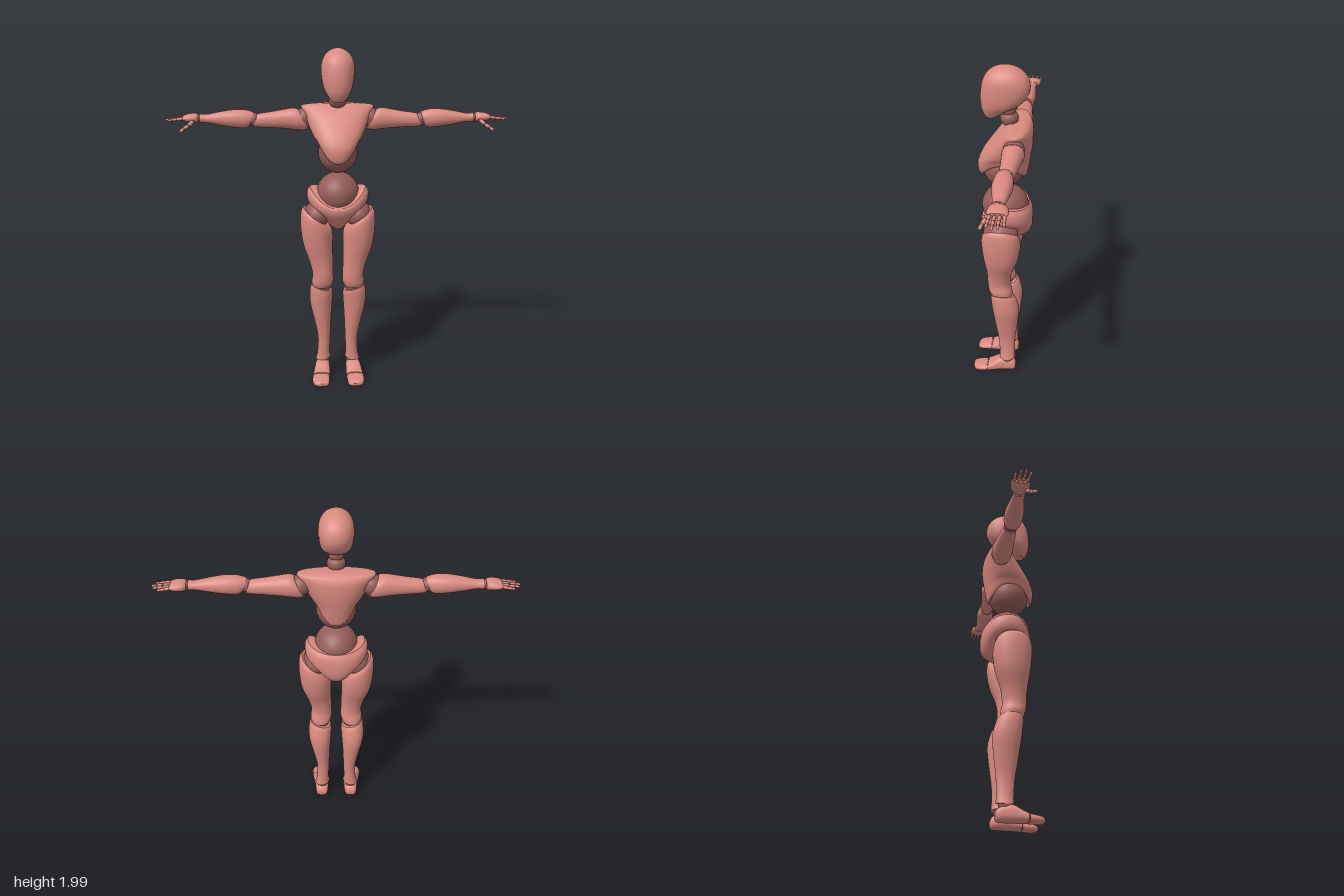
import * as THREE from 'three';

const skin = new THREE.MeshStandardMaterial({ color: 0xd98a80 });
skin.name = 'salmon shell';
const joint = new THREE.MeshStandardMaterial({ color: 0x955d56 });
joint.name = 'dark joint';

// Axis maps: section position t and cross-section coordinates a, b to x, y, z
const UP = (t, a, b) => [a, t, b];      // a = x, b = z
const OUT = (t, a, b) => [t, a, b];     // along x: a = y, b = z
const FORWARD = (t, a, b) => [a, b, t]; // along z: a = x, b = y

// Blend the sections with a smooth curve
function refine(rings, steps) {
  const out = [], n = rings.length;
  for (let i = 0; i < n - 1; i++) {
    const p = [-1, 0, 1, 2].map(k => rings[Math.min(n - 1, Math.max(0, i + k))]);
    for (let s = 0; s < steps; s++) {
      const u = s / steps;
      out.push(Array.from({ length: 8 }, (_, k) => {
        const [a, b, c, d] = p.map(r => r[k] ?? 0);
        return b + 0.5 * u * (c - a + u * (2 * a - 5 * b + 4 * c - d + u * (3 * (b - c) + d - a)));
      }));
    }
  }
  out.push(Array.from({ length: 8 }, (_, k) => rings[n - 1][k] ?? 0));
  return out;
}

// Closed loft; ring = [t, aMin, aMax, bMin, bMax, tilt, sideLift, backLift]
function loft(name, rings, map, { side = 1, power = 0.92, seg = 32, steps = 4, material = skin } = {}) {
  const pos = [], idx = [], rows = refine(rings, steps);
  const addRing = ([t, a0, a1, b0, b1, tilt, lift, back]) => {
    for (let j = 0; j < seg; j++) {
      const th = j / seg * Math.PI * 2, c0 = Math.cos(th), s0 = Math.sin(th);
      const c = Math.sign(c0) * Math.abs(c0) ** power, s = Math.sign(s0) * Math.abs(s0) ** power;
      const h = t + tilt * c0 + lift * c0 * c0 + (s0 < 0 ? back * s0 * s0 : 0);
      const [x, y, z] = map(h, (a0 + a1) / 2 + c * (a1 - a0) / 2, (b0 + b1) / 2 + s * (b1 - b0) / 2);
      pos.push(x * side, y, z);
    }
  };
  rows.forEach(addRing);
  for (let i = 0; i < rows.length - 1; i++) for (let j = 0; j < seg; j++) {
    const a = i * seg + j, b = i * seg + (j + 1) % seg;
    idx.push(a, a + seg, b, b, a + seg, b + seg);
  }
  // End caps with their own rim so the edge stays crisp
  [[rows[0], 0], [rows[rows.length - 1], 1]].forEach(([r, end]) => {
    const start = pos.length / 3;
    addRing(r);
    const [x, y, z] = map(r[0] + r[6] * 0.5 + r[7] * 0.25, (r[1] + r[2]) / 2, (r[3] + r[4]) / 2);
    pos.push(x * side, y, z);
    for (let j = 0; j < seg; j++) {
      const a = start + j, b = start + (j + 1) % seg;
      end ? idx.push(a, start + seg, b) : idx.push(a, b, start + seg);
    }
  });
  // Turn the faces outward
  let volume = 0;
  const P = i => new THREE.Vector3().fromArray(pos, idx[i] * 3);
  for (let i = 0; i < idx.length; i += 3) volume += P(i).dot(P(i + 1).cross(P(i + 2)));
  if (volume < 0) idx.reverse();
  const g = new THREE.BufferGeometry();
  g.setAttribute('position', new THREE.Float32BufferAttribute(pos, 3));
  g.setIndex(idx);
  g.computeVertexNormals();
  const m = new THREE.Mesh(g, material);
  m.name = name;
  return m;
}

function ball(name, x, y, z, rx, ry = rx, rz = rx, material = joint) {
  const m = new THREE.Mesh(new THREE.SphereGeometry(1, 32, 20), material);
  m.position.set(x, y, z);
  m.scale.set(rx, ry, rz);
  m.name = name;
  return m;
}

// Chain of small tapered bones with a ball at each knuckle
function finger(name, points, radius) {
  const g = new THREE.Group();
  g.name = name;
  points.slice(1).forEach((q, i) => {
    const a = new THREE.Vector3(...points[i]), b = new THREE.Vector3(...q), d = b.clone().sub(a);
    const m = new THREE.Mesh(new THREE.CapsuleGeometry(radius * (1 - i * 0.12), d.length() * 0.55, 4, 10), skin);
    m.position.copy(a).lerp(b, 0.5);
    m.quaternion.setFromUnitVectors(new THREE.Vector3(0, 1, 0), d.normalize());
    m.name = name + 'Bone';
    g.add(m, ball(name + 'Knuckle', ...points[i], radius * 0.8));
  });
  return g;
}

function arm(side) {
  const g = new THREE.Group(), o = { side };
  g.name = side > 0 ? 'leftArm' : 'rightArm';
  g.add(ball('shoulderJoint', side * 0.19, 1.6, -0.08, 0.058));
  g.add(loft('upperArm', [
    [0.195, 1.54, 1.65, -0.135, -0.025, 0.03], [0.23, 1.53, 1.658, -0.142, -0.02, 0.025],
    [0.3, 1.54, 1.652, -0.135, -0.025], [0.38, 1.545, 1.638, -0.125, -0.03],
    [0.44, 1.548, 1.63, -0.118, -0.034], [0.475, 1.55, 1.625, -0.11, -0.038, -0.012]], OUT, o));
  g.add(ball('elbowJoint', side * 0.485, 1.595, -0.072, 0.038));
  g.add(loft('forearm', [
    [0.493, 1.56, 1.635, -0.108, -0.03, -0.012], [0.53, 1.545, 1.65, -0.12, -0.022],
    [0.6, 1.55, 1.65, -0.125, -0.02], [0.68, 1.562, 1.638, -0.118, -0.032],
    [0.75, 1.575, 1.624, -0.11, -0.044], [0.79, 1.575, 1.626, -0.112, -0.045]], OUT, o));
  g.add(ball('wristJoint', side * 0.797, 1.6, -0.078, 0.022));
  g.add(loft('palm', [
    [0.8, 1.578, 1.622, -0.115, -0.045], [0.82, 1.575, 1.63, -0.13, -0.035],
    [0.86, 1.58, 1.626, -0.135, -0.032], [0.885, 1.588, 1.617, -0.128, -0.04]], OUT, o));
  [[-0.12, 0.95], [-0.098, 0.98], [-0.075, 0.99], [-0.051, 0.97]].forEach(([z, tip], i) => {
    const pt = k => [side * (0.885 + (tip - 0.885) * k), 1.603 - 0.01 * k, z + (z + 0.085) * 0.15 * k];
    g.add(finger('finger' + (i + 1), [pt(0), pt(0.4), pt(0.72), pt(0.98)], 0.0095));
  });
  g.add(finger('thumb', [[side * 0.825, 1.59, -0.045], [side * 0.852, 1.565, -0.028],
    [side * 0.877, 1.55, -0.015], [side * 0.897, 1.535, -0.006]], 0.012));
  return g;
}

function leg(side) {
  const g = new THREE.Group(), o = { side };
  g.name = side > 0 ? 'leftLeg' : 'rightLeg';
  g.add(ball('hipJoint', side * 0.122, 1.045, 0, 0.075, 0.08, 0.1));
  g.add(loft('thigh', [
    [0.6, 0.04, 0.152, -0.068, 0.062], [0.63, 0.028, 0.158, -0.065, 0.075],
    [0.68, 0.028, 0.152, -0.055, 0.082], [0.76, 0.03, 0.17, -0.065, 0.085],
    [0.86, 0.03, 0.205, -0.1, 0.1], [0.95, 0.03, 0.22, -0.115, 0.11, 0.02],
    [1.01, 0.04, 0.218, -0.112, 0.11, 0.05], [1.035, 0.058, 0.2, -0.1, 0.1, 0.055]], UP, o));
  g.add(ball('kneeJoint', side * 0.095, 0.6, -0.005, 0.054));
  g.add(loft('shin', [
    [0.11, 0.045, 0.135, -0.088, 0.01, -0.008], [0.15, 0.05, 0.125, -0.085, 0.01],
    [0.25, 0.046, 0.122, -0.087, 0.018], [0.36, 0.042, 0.142, -0.1, 0.035],
    [0.48, 0.034, 0.168, -0.11, 0.052], [0.56, 0.03, 0.168, -0.092, 0.062, 0.012],
    [0.59, 0.036, 0.158, -0.075, 0.062, 0.018]], UP, o));
  g.add(ball('ankleJoint', side * 0.092, 0.1, -0.035, 0.04));
  g.add(loft('foot', [
    [-0.093, 0.075, 0.115, 0.03, 0.055], [-0.08, 0.058, 0.13, 0.012, 0.08],
    [-0.03, 0.05, 0.137, 0.008, 0.105], [0.01, 0.05, 0.143, 0.008, 0.102],
    [0.05, 0.05, 0.15, 0.008, 0.077], [0.082, 0.052, 0.155, 0.008, 0.06]], FORWARD, { side, power: 0.75 }));
  g.add(ball('toeJoint', side * 0.104, 0.032, 0.084, 0.044, 0.02, 0.015));
  g.add(loft('toes', [
    [0.087, 0.054, 0.156, 0.008, 0.056], [0.12, 0.054, 0.158, 0.006, 0.05],
    [0.155, 0.058, 0.15, 0.006, 0.043], [0.17, 0.066, 0.132, 0.01, 0.036],
    [0.176, 0.08, 0.115, 0.018, 0.03]], FORWARD, { side, power: 0.75 }));
  return g;
}

export function createModel() {
  const model = new THREE.Group();
  model.name = 'mannequin';
  // Head: smooth skull tapering to the chin, jaw cut rising to the back
  model.add(loft('head', [
    [1.705, -0.028, 0.028, 0.045, 0.09], [1.72, -0.045, 0.045, 0.02, 0.102],
    [1.75, -0.064, 0.064, -0.025, 0.116], [1.78, -0.08, 0.08, -0.085, 0.122],
    [1.82, -0.09, 0.09, -0.125, 0.124], [1.87, -0.095, 0.095, -0.145, 0.121],
    [1.92, -0.092, 0.092, -0.138, 0.11], [1.96, -0.074, 0.074, -0.11, 0.085],
    [1.985, -0.046, 0.046, -0.073, 0.05], [1.996, -0.022, 0.022, -0.042, 0.016],
    [2, -0.002, 0.002, -0.017, -0.013]], UP, { power: 0.88 }));
  model.add(ball('neckBall', 0, 1.705, -0.033, 0.051, 0.045, 0.051));
  model.add(ball('skullJoint', 0, 1.755, -0.028, 0.042));
  // Torso: rib cage shell with an arched lower rim over two meeting balls
  model.add(loft('chest', [
    [1.365, -0.096, 0.096, -0.128, 0.125, 0, 0.08], [1.385, -0.108, 0.108, -0.138, 0.137, 0, 0.075],
    [1.44, -0.122, 0.122, -0.148, 0.143, 0, 0.045], [1.5, -0.142, 0.142, -0.157, 0.122, 0, 0.01],
    [1.56, -0.165, 0.165, -0.165, 0.083], [1.63, -0.192, 0.192, -0.165, 0.028],
    [1.665, -0.21, 0.21, -0.152, -0.01], [1.678, -0.195, 0.195, -0.138, -0.025],
    [1.686, -0.11, 0.11, -0.12, -0.035]], UP, { seg: 48, power: 0.88 }));
  model.add(ball('upperAbdomen', 0, 1.41, -0.005, 0.113, 0.116, 0.12));
  model.add(ball('lowerAbdomen', 0, 1.17, -0.012, 0.125, 0.125, 0.135));
  // Pelvis: high at the hips, dipping to a V in front
  model.add(loft('pelvis', [
    [0.96, -0.025, 0.025, -0.06, 0.025], [0.99, -0.06, 0.06, -0.135, 0.06],
    [1.02, -0.115, 0.115, -0.167, 0.09, 0, 0.04, 0.01], [1.06, -0.172, 0.172, -0.174, 0.117, 0, 0.06, 0.03],
    [1.09, -0.18, 0.18, -0.168, 0.125, 0, 0.09, 0.06],
    [1.105, -0.162, 0.162, -0.15, 0.12, 0, 0.105, 0.08]], UP, { seg: 48 }));
  for (const side of [1, -1]) model.add(arm(side), leg(side));
  return model;
}
